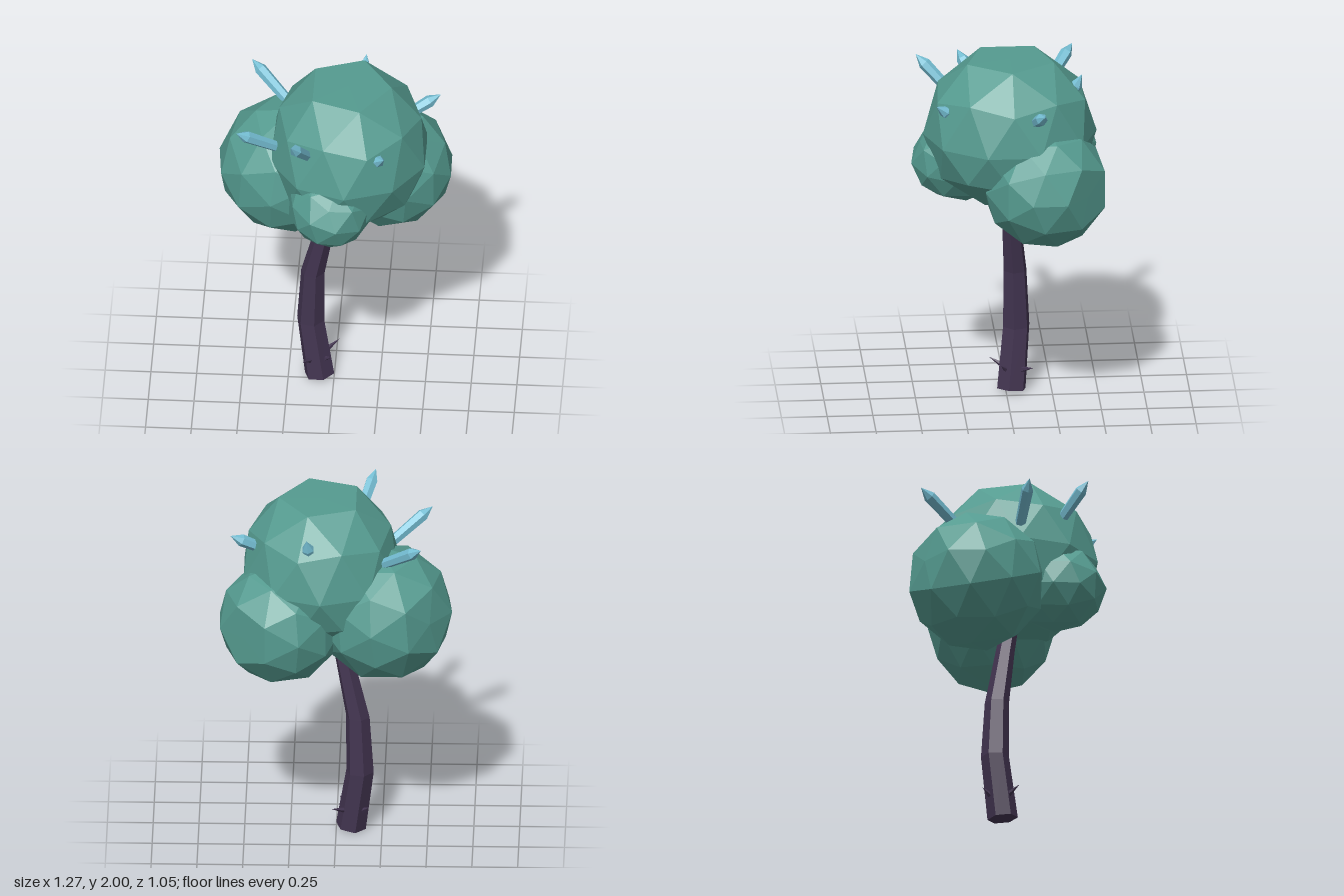
import * as THREE from 'three';

const flat = (name, color) => {
  const m = new THREE.MeshStandardMaterial({ color, flatShading: true });
  m.name = name;
  return m;
};

export function createModel() {
  const leaf = flat('teal foliage', 0x559b90);
  const bark = flat('dark purple bark', 0x423450);
  const crystal = flat('pale blue crystal', 0x74bdd2);

  const tree = new THREE.Group();
  tree.name = 'tree';
  const add = (name, geometry, material, parent = tree) => {
    const mesh = new THREE.Mesh(geometry, material);
    mesh.name = name;
    parent.add(mesh);
    return mesh;
  };

  // Bent six-sided trunk: each level is [x, y, z, radius], bottom first
  const levels = [
    [-0.08, 0.012, -0.03, 0.083],
    [-0.13, 0.36, -0.06, 0.077],
    [-0.118, 0.69, -0.053, 0.066],
    [-0.045, 1.03, -0.025, 0.052],
    [0.02, 1.3, 0, 0.045],
  ];
  const n = levels.length - 1;
  const trunk = new THREE.CylinderGeometry(1, 1, 1, 6, n);
  trunk.rotateY(0.3);
  const p = trunk.attributes.position;
  for (let i = 0; i < p.count; i++) {
    const k = Math.round((p.getY(i) + 0.5) * n);
    const [x, y, z, r] = levels[k];
    const px = p.getX(i) * r, pz = p.getZ(i) * r;
    const tilt = k === 0 ? px * 0.14 + pz * 0.08 : 0; // slanted foot
    p.setXYZ(i, x + px, y + tilt, z + pz);
  }
  add('trunk', trunk, bark);

  // Foliage clumps: faceted spheres with one pole flattened (crown height)
  // and the opposite half squashed (belly), then turned
  const clump = (name, centre, radii, [turnX, turnY], crown = 0.853, belly = 1) => {
    const g = new THREE.IcosahedronGeometry(1, 1);
    g.rotateZ(Math.atan(2 / (1 + Math.sqrt(5))));
    g.rotateY(Math.PI);
    const q = g.attributes.position;
    for (let i = 0; i < q.count; i++) {
      const y = q.getY(i);
      if (y > 0.95) q.setY(i, crown);
      else if (y < 0) q.setY(i, y * belly);
    }
    g.rotateX(turnX).rotateY(turnY);
    g.scale(...radii).translate(...centre);
    add(name, g, leaf);
  };
  clump('mainFoliage', [0.08, 1.572, -0.01], [0.445, 0.5, 0.475], [0, 0], 0.853, 0.83);
  clump('rightFoliage', [-0.265, 1.368, -0.128], [0.378, 0.382, 0.382], [1.47, 3.98], 0.9);
  clump('leftFoliage', [0.298, 1.337, -0.19], [0.347, 0.345, 0.347], [-Math.PI / 2, -0.72]);
  clump('frontFoliage', [0, 1.4, 0.255], [0.24, 0.24, 0.275], [1.1, 0], 0.9);

  // Place an upright geometry so that it runs from one point to another
  const up = new THREE.Vector3(0, 1, 0);
  const aim = (mesh, from, to) => {
    const a = new THREE.Vector3(...from);
    const dir = new THREE.Vector3(...to).sub(a).normalize();
    mesh.position.copy(a);
    mesh.quaternion.setFromUnitVectors(up, dir);
  };
  const distance = (a, b) => Math.hypot(a[0] - b[0], a[1] - b[1], a[2] - b[2]);

  // Pointed crystals growing out of the foliage: [root, tip]
  const spikes = [
    [[-0.25, 1.7, -0.225], [-0.47, 1.87, -0.39]],
    [[-0.27, 1.645, 0.11], [-0.52, 1.83, 0.235]],
    [[-0.11, 1.72, 0.28], [-0.205, 1.93, 0.485]],
    [[0.23, 1.72, 0.3], [0.295, 1.81, 0.405]],
    [[0.4, 1.74, -0.12], [0.575, 1.84, -0.172]],
    [[0.135, 1.76, -0.32], [0.155, 1.925, -0.4]],
  ];
  const crystals = new THREE.Group();
  crystals.name = 'crystals';
  tree.add(crystals);
  for (const [root, tip] of spikes) {
    const len = distance(root, tip);
    const profile = [[0, 0], [0.029, 0], [0.034, len - 0.07], [0, len]];
    const g = new THREE.LatheGeometry(profile.map(([x, y]) => new THREE.Vector2(x, y)), 6);
    aim(add('crystal', g, crystal, crystals), root, tip);
  }

  // Small thorns around the foot of the trunk: [angle, reach]
  const thorns = new THREE.Group();
  thorns.name = 'thorns';
  tree.add(thorns);
  for (const [angle, reach] of [[0.7, 0.11], [2.05, 0.145], [3.9, 0.11], [5.6, 0.16]]) {
    const at = (r, y) => [-0.1 + r * Math.cos(angle), y, -0.042 + r * Math.sin(angle)];
    const root = at(0.06, 0.13), tip = at(reach, 0.165);
    const len = distance(root, tip);
    const g = new THREE.ConeGeometry(0.018, len, 5).translate(0, len / 2, 0);
    aim(add('thorn', g, bark, thorns), root, tip);
  }

  return tree;
}
